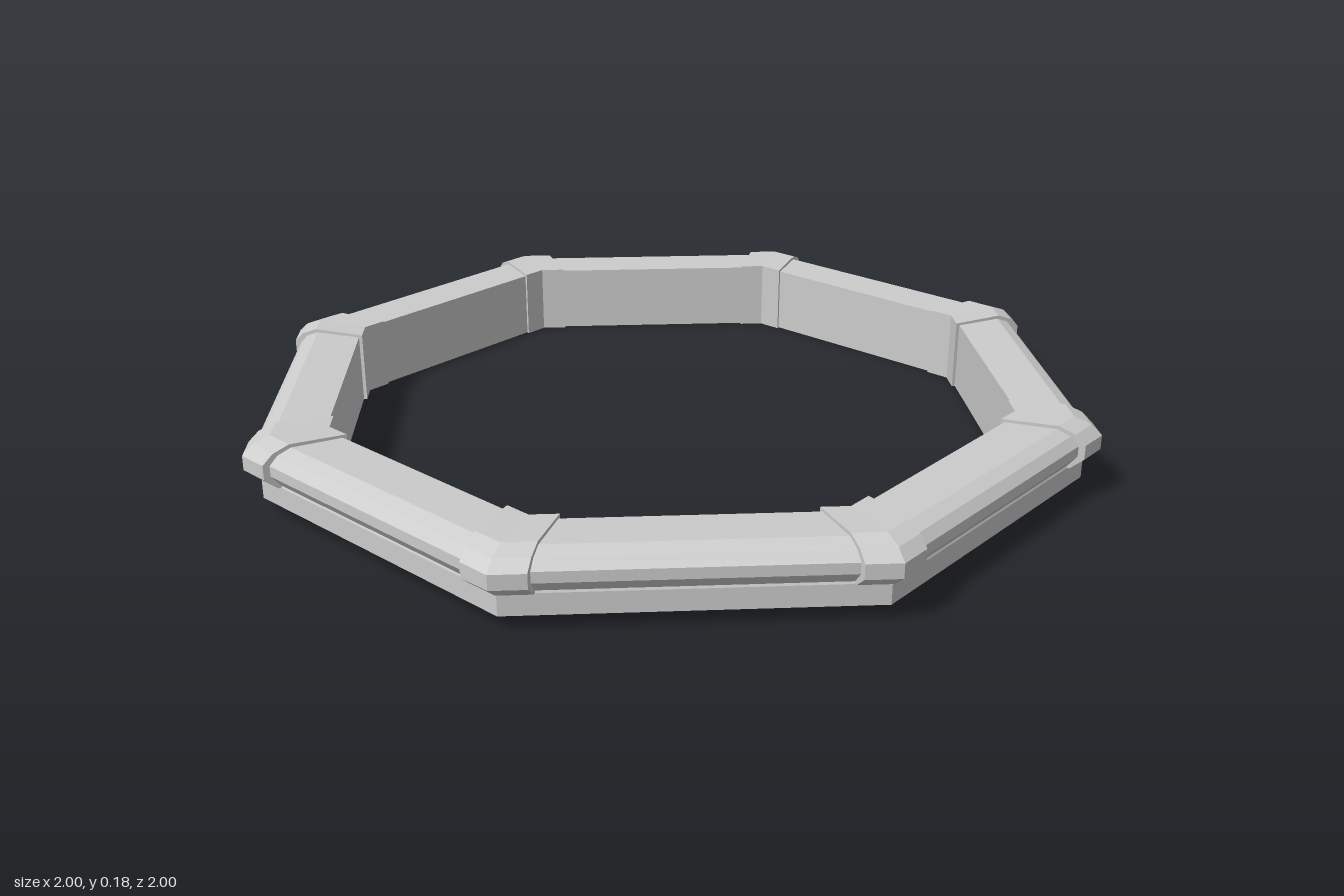
import * as THREE from 'three';

const SIDES = 8;
const TILT = Math.tan(Math.PI / SIDES); // lean of each side away from its corner

const material = new THREE.MeshStandardMaterial({
  color: 0xcccccc, flatShading: true, side: THREE.DoubleSide,
});

// Profiles are [corner radius, height], counter-clockwise.
const wallProfile = [[0.819, 0], [0.828, 0], [0.828, 0.16], [0.819, 0.16]];
const skirtProfile = [[0.953, 0.035], [0.965, 0.035], [0.965, 0.082], [0.953, 0.11]];
const rimProfile = [
  [0.819, 0.152], [0.935, 0.152], [0.95, 0.088], [0.965, 0.088], [0.985, 0.113],
  [0.985, 0.137], [0.966, 0.157], [0.935, 0.169], [0.819, 0.166],
];
const bracketProfile = [
  [0.81, 0], [0.832, 0], [0.832, 0.148], [0.93, 0.148], [0.945, 0.082], [0.97, 0.082],
  [1.0, 0.108], [1.0, 0.141], [0.976, 0.163], [0.938, 0.177], [0.81, 0.172],
];

// Eight-sided ring swept from a closed profile
function ring(name, profile) {
  const points = [...profile, profile[0]].map(([r, y]) => new THREE.Vector2(r, y));
  const mesh = new THREE.Mesh(new THREE.LatheGeometry(points, SIDES), material);
  mesh.name = name;
  return mesh;
}

// Corner bracket: a profile extruded in two steps, then bent around the corner
function bracketGeometry() {
  const shape = new THREE.Shape(bracketProfile.map(([r, y]) => new THREE.Vector2(r, y)));
  const geometry = new THREE.ExtrudeGeometry(shape, { depth: 2, steps: 2, bevelEnabled: false });
  geometry.translate(0, 0, -1);
  const pos = geometry.attributes.position;
  for (let i = 0; i < pos.count; i++) {
    const r = pos.getX(i);
    const t = pos.getZ(i) * (0.055 + (r - 0.81) * 0.07); // slightly wider outside
    pos.setX(i, r - Math.abs(t) * TILT);
    pos.setZ(i, t);
  }
  geometry.computeVertexNormals();
  return geometry;
}

export function createModel() {
  const model = new THREE.Group();
  model.name = 'octagonalFrame';

  // Thin inner wall, outer skirt and bevelled rim, open underneath
  model.add(
    ring('innerWall', wallProfile),
    ring('outerSkirt', skirtProfile),
    ring('rim', rimProfile),
  );

  // A raised bracket at every corner
  const bracket = bracketGeometry();
  for (let i = 0; i < SIDES; i++) {
    const mesh = new THREE.Mesh(bracket, material);
    mesh.name = `cornerBracket${i + 1}`;
    mesh.rotation.y = (i / SIDES) * Math.PI * 2;
    model.add(mesh);
  }
  return model;
}
